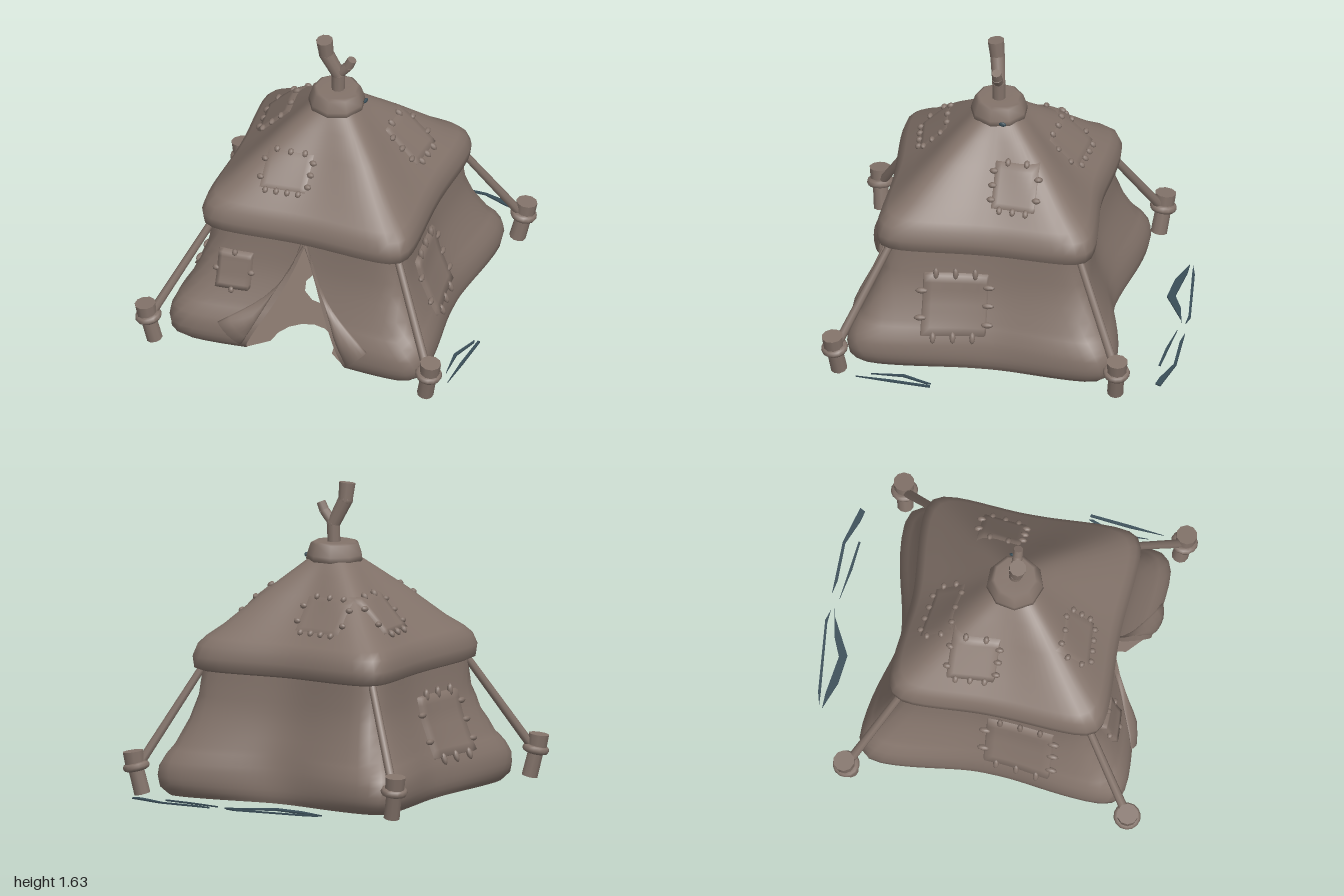
import * as THREE from 'three';
import { mergeVertices } from 'three/addons/utils/BufferGeometryUtils.js';

const TURN = 0.137, CZ = 0.07;
const V = (x, y, z) => new THREE.Vector3(x, y, z);

// Profiles: [height, half width, corner sharpness, inward pinch of the sides]
const WALL = [[0, 0.67, 14, 0.06], [0.04, 0.708, 13, 0.08], [0.1, 0.722, 12, 0.095], [0.15, 0.717, 12, 0.1],
  [0.21, 0.69, 12, 0.095], [0.27, 0.65, 12, 0.08], [0.4, 0.59, 12, 0.07], [0.52, 0.555, 12, 0.06], [0.7, 0.535, 12, 0.06]];
const ROOF = [[0.655, 0.55, 10, 0.04], [0.67, 0.58, 10, 0.04], [0.73, 0.587, 10, 0.04], [0.79, 0.567, 10, 0.04],
  [0.83, 0.535, 9, 0.04], [0.89, 0.465, 8, 0.055], [1.05, 0.31, 6, 0.075], [1.15, 0.205, 4, 0.05], [1.22, 0.13, 2.5, 0]];

function rowAt(profile, y) {
  let i = 0;
  while (i < profile.length - 2 && y > profile[i + 1][0]) i++;
  const a = profile[i], b = profile[i + 1];
  const t = THREE.MathUtils.clamp((y - a[0]) / (b[0] - a[0]), 0, 1);
  return a.map((v, k) => v + (b[k] - v) * t);
}
// The back side (cos below zero) is drawn in a little further than the others
function radius([, h, n, pinch], phi) {
  const c = Math.abs(Math.cos(phi)), s = Math.abs(Math.sin(phi));
  const inward = pinch * (1 + 0.65 * Math.max(0, -Math.cos(phi)));
  return h * (1 - inward * Math.cos(2 * phi) ** 2) / Math.pow(c ** n + s ** n, 1 / n);
}
function around(row, phi) {
  const r = radius(row, phi);
  return V(r * Math.sin(phi), row[0], r * Math.cos(phi));
}
// Point on one face of a profile, in the frame of that face (turned about y),
// at sideways position u and height y
function onFace(profile, u, y, lift = 0, turn = 0) {
  const row = rowAt(profile, y);
  let d = row[1];
  for (let i = 0; i < 8; i++) {
    const phi = Math.atan2(u, d);
    d = radius(row, phi + turn) * Math.cos(phi);
  }
  return V(u, y, d + lift);
}
// Skin over rows of points
function skin(rows) {
  const w = rows[0].length, index = [];
  for (let i = 0; i < rows.length - 1; i++) for (let j = 0; j < w - 1; j++) {
    const a = i * w + j, b = a + 1, d = a + w, c = d + 1;
    index.push(a, b, c, a, c, d);
  }
  let g = new THREE.BufferGeometry().setFromPoints(rows.flat());
  g.setIndex(index);
  g = mergeVertices(g, 1e-5);
  g.computeVertexNormals();
  return g;
}

export function createModel() {
  const canvas = new THREE.MeshStandardMaterial({ color: 0x83736a, side: THREE.DoubleSide });
  canvas.name = 'brown canvas';
  const slate = new THREE.MeshStandardMaterial({ color: 0x3a4e58, side: THREE.DoubleSide });
  slate.name = 'dark slate';

  const model = new THREE.Group();
  model.name = 'tent';
  const tent = new THREE.Group();
  tent.name = 'tentBody';
  tent.rotation.y = TURN;
  tent.position.z = CZ;
  model.add(tent);
  const add = (parent, name, geo, mat = canvas) => {
    const m = new THREE.Mesh(geo, mat);
    m.name = name;
    parent.add(m);
    return m;
  };
  const rod = (parent, name, a, b, r0, r1, sides = 10) => {
    const m = add(parent, name, new THREE.CylinderGeometry(r1, r0, a.distanceTo(b), sides));
    m.position.copy(a).lerp(b, 0.5);
    m.quaternion.setFromUnitVectors(V(0, 1, 0), b.clone().sub(a).normalize());
    return m;
  };

  // Walls, open at the front as a narrow triangle
  const doorAngle = y => Math.max(0, Math.atan2(0.25 * (1 - y / 0.62), 0.6));
  const N = 88;
  const wallRow = y => Array.from({ length: N + 1 }, (_, j) => {
    const a = doorAngle(y);
    return around(rowAt(WALL, y), a + (2 * Math.PI - 2 * a) * j / N);
  });
  const heights = [0, 0.015, 0.04, 0.07, 0.1, 0.15, 0.18, 0.21, 0.24, 0.27, 0.33, 0.4, 0.46, 0.52, 0.62, 0.7];
  add(tent, 'walls', skin(heights.map(wallRow)));

  // Floor with a round hole and a notch at the door
  const edge = wallRow(0).map(p => new THREE.Vector2(p.x, p.z));
  for (let i = 0; i <= 8; i++) {
    const a = Math.PI * i / 8;
    edge.push(new THREE.Vector2(-0.17 * Math.cos(a), 0.56 - 0.21 * Math.sin(a)));
  }
  const floor = new THREE.Shape(edge);
  floor.holes.push(new THREE.Path().absarc(0, 0, 0.17, 0, Math.PI * 2, true));
  add(tent, 'floor', new THREE.ShapeGeometry(floor, 6).rotateX(Math.PI / 2).translate(0, 0.004, 0));

  // Roof with a rolled lower hem
  const roofRows = [[0.68, 0.5, 10, 0.04], ...ROOF];
  add(tent, 'roof', skin(roofRows.map(row =>
    Array.from({ length: N + 1 }, (_, j) => around(row, 2 * Math.PI * (j % N) / N)))));

  // Door flaps folded back to each side
  for (const side of [-1, 1]) {
    const outer = new THREE.CatmullRomCurve3([V(0.02, 0.64, 0), V(0.07, 0.48, 0), V(0.19, 0.32, 0), V(0.415, 0.17, 0)]);
    const rows = [];
    for (let i = 0; i <= 12; i++) {
      const t = i / 12, o = outer.getPoint(t), inn = V(0.005 + 0.285 * t, 0.63 - 0.59 * t, 0);
      const ring = [];
      for (let j = 0; j <= 16; j++) {
        const a = 2 * Math.PI * (j % 16) / 16, k = 0.5 - 0.5 * Math.cos(a);
        const p = inn.clone().lerp(o, k);
        const lift = 0.012 + 0.012 * t * Math.sin(Math.PI * k) + 0.014 * Math.sin(a);
        const q = onFace(WALL, p.x, Math.max(p.y, 0.17), lift);
        ring.push(V(side * q.x, p.y, q.z));
      }
      rows.push(ring);
    }
    rows.push(rows[12].map(() => rows[12][0].clone().lerp(rows[12][8], 0.5)));
    if (side > 0) rows.reverse();
    add(tent, side > 0 ? 'leftDoorFlap' : 'rightDoorFlap', skin(rows));
  }

  // Sewn patches: a raised sheet with stitches crossing its edges
  const stitchGeo = new THREE.SphereGeometry(1, 8, 6);
  function patch(name, turn, profile, u0, u1, y0, y1, size, counts, lift = 0.02) {
    const g = new THREE.Group();
    g.name = name;
    g.rotation.y = turn;
    tent.add(g);
    const at = (u, y, up) => onFace(profile, u, y, up, turn);
    const M = 10, rows = [];
    for (let i = 0; i <= M; i++) {
      rows.push(Array.from({ length: M + 1 }, (_, j) => {
        const rim = i === 0 || j === 0 || i === M || j === M;
        const f = k => THREE.MathUtils.clamp((k - 0.7) / (M - 1.4), 0, 1);
        return at(u0 + (u1 - u0) * f(j), y0 + (y1 - y0) * f(i), rim ? -0.01 : lift);
      }));
    }
    add(g, name + 'Cloth', skin(rows));
    const stitch = (u, y, du, dy) => {
      const s = add(g, 'stitch', stitchGeo);
      s.position.copy(at(u, y, Math.max(lift * 0.8, 0.008)));
      s.quaternion.setFromUnitVectors(V(0, 0, 1), at(u + du, y + dy).sub(at(u - du, y - dy)).normalize());
      s.scale.set(0.016, 0.016, size);
    };
    const [top, bottom, left, right] = counts;
    const spread = (n, a, b, fn) => {
      for (let i = 0; i < n; i++) fn(a + (b - a) * (i + 0.7) / (n + 0.4));
    };
    spread(top, u0, u1, u => stitch(u, y1, 0, 0.02));
    spread(bottom, u0, u1, u => stitch(u, y0, 0, 0.02));
    spread(left, y0, y1, y => stitch(u0, y, 0.02, 0));
    spread(right, y0, y1, y => stitch(u1, y, 0.02, 0));
  }
  const Q = Math.PI / 2;
  patch('leftWallPatch', Q, WALL, -0.32, 0.03, 0.2, 0.53, 0.034, [3, 3, 2, 3]);
  patch('rightWallPatch', -Q, WALL, -0.05, 0.32, 0.2, 0.53, 0.034, [3, 3, 2, 3]);
  patch('frontWallPatch', 0, WALL, -0.46, -0.27, 0.34, 0.54, 0.02, [1, 1, 1, 1], 0.03);
  patch('frontRoofPatch', 0, ROOF, -0.28, -0.02, 0.9, 1.06, 0.02, [3, 4, 2, 3], 0.003);
  patch('backRoofPatch', 2 * Q, ROOF, -0.01, 0.28, 0.89, 1.06, 0.02, [3, 4, 2, 2], 0.003);
  patch('leftRoofPatch', Q, ROOF, 0.02, 0.26, 0.89, 1.08, 0.024, [2, 3, 3, 2], 0.012);
  patch('rightRoofPatch', -Q, ROOF, -0.28, -0.02, 0.89, 1.07, 0.024, [2, 3, 2, 3], 0.02);

  // Collar around the pole, with a small dark spot on its left
  const collarProfile = [[0.125, 1.19], [0.152, 1.215], [0.148, 1.24], [0.128, 1.3], [0.11, 1.31], [0, 1.305]];
  add(tent, 'collar', new THREE.LatheGeometry(collarProfile.map(p => new THREE.Vector2(...p)), 9));
  const spot = add(model, 'collarSpot', stitchGeo, slate);
  spot.position.set(0.14, 1.23, 0.01);
  spot.scale.set(0.008, 0.013, 0.02);

  // Forked pole top
  const pole = new THREE.Group();
  pole.name = 'forkedPole';
  model.add(pole);
  const fork = V(0.01, 1.4, 0.07), bend = V(-0.05, 1.53, 0.095);
  rod(pole, 'poleStem', V(0.005, 1.2, 0.07), fork, 0.034, 0.036);
  rod(pole, 'longBranch', fork, bend, 0.036, 0.04);
  rod(pole, 'longBranchTip', bend, V(-0.055, 1.62, 0.105), 0.04, 0.045);
  rod(pole, 'shortBranch', fork, V(0.065, 1.465, 0.063), 0.028, 0.027);
  rod(pole, 'shortBranchTip', V(0.065, 1.465, 0.063), V(0.085, 1.51, 0.06), 0.027, 0.025);
  for (const [p, r] of [[fork, 0.036], [bend, 0.04]])
    add(pole, 'poleJoint', new THREE.SphereGeometry(r, 10, 8)).position.copy(p);

  // Corner pegs and guy poles: [peg x, peg z, corner x, corner z]
  for (const [px, pz, cx, cz] of [[-0.87, -0.56, -0.55, -0.34], [0.66, -0.77, 0.43, -0.49],
    [0.865, 0.705, 0.56, 0.48], [-0.665, 0.92, -0.43, 0.61]]) {
    const g = new THREE.Group();
    g.name = 'cornerAnchor';
    model.add(g);
    const sx = Math.sign(px) * 0.022, sz = Math.sign(pz) * 0.012;
    const at = (t, y) => V(px + sx * t, y, pz + sz * t);
    rod(g, 'peg', at(-1, 0.01), at(0.7, 0.18), 0.044, 0.042);
    rod(g, 'pegHead', at(0.6, 0.165), at(1, 0.235), 0.052, 0.056);
    // Loop tied round the peg
    const loop = add(g, 'pegLoop', new THREE.TorusGeometry(0.05, 0.022, 8, 14));
    loop.position.copy(at(0.3, 0.155));
    loop.quaternion.setFromUnitVectors(V(0, 0, 1), at(1, 0.235).sub(at(-1, 0.01)).normalize());
    rod(g, 'guyPole', at(0, 0.15), V(cx, 0.69, cz), 0.024, 0.02, 8);
  }

  // Thin slivers lying on the ground, outlined in x and z
  const slivers = [
    [[-0.58, -0.8], [-0.5, -0.81], [-0.28, -0.81], [-0.18, -0.87], [-0.03, -0.92], [-0.08, -0.9], [-0.26, -0.77], [-0.42, -0.765]],
    [[-0.57, -0.82], [-0.5, -0.85], [-0.11, -0.945], [-0.05, -0.935], [-0.12, -0.93], [-0.5, -0.835]],
    [[0.04, -0.96], [0.33, -1], [0.54, -0.975], [0.53, -0.945], [0.47, -0.95], [0.33, -0.985], [0.12, -0.955]],
    [[0.02, -0.912], [0.36, -0.922], [0.36, -0.912], [0.2, -0.903]],
    [[0.87, 0.18], [0.83, 0.34], [0.87, 0.51], [0.848, 0.34], [0.877, 0.2]],
    [[0.888, 0.18], [0.896, 0.4], [0.915, 0.58], [0.912, 0.4], [0.902, 0.18]],
  ];
  for (const pts of slivers) {
    const shape = new THREE.Shape(pts.map(p => new THREE.Vector2(...p)));
    const geo = new THREE.ExtrudeGeometry(shape, { depth: 0.008, bevelEnabled: false });
    add(model, 'groundSliver', geo.rotateX(Math.PI / 2).translate(0, 0.03, 0), slate);
  }
  return model;
}
